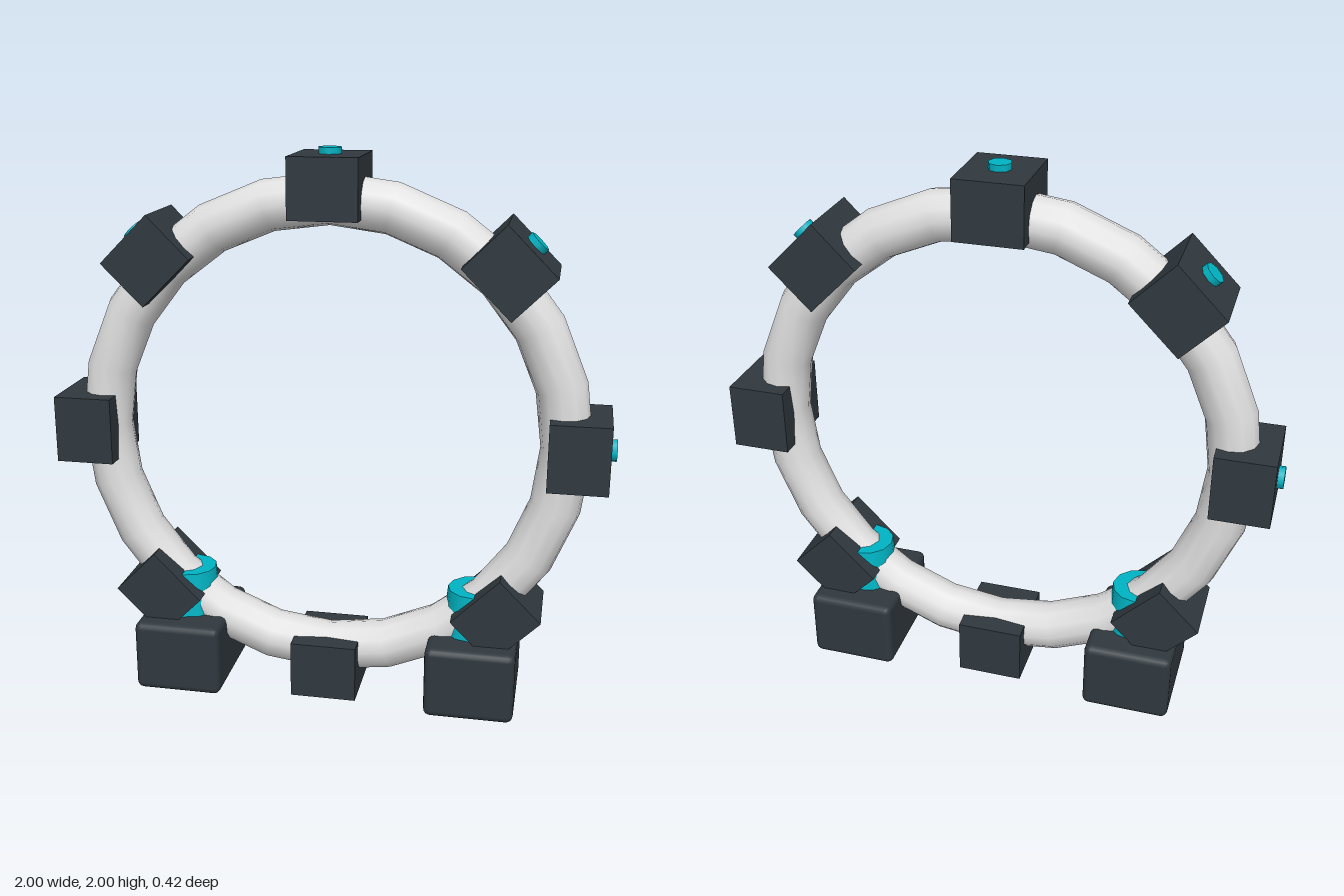
import * as THREE from 'three';
import { RoundedBoxGeometry } from 'three/addons/geometries/RoundedBoxGeometry.js';

const CENTRE_Y = 1;

export function createModel() {
  const model = new THREE.Group();
  model.name = 'ringGate';

  const paleMetal = new THREE.MeshStandardMaterial({ color: 0xe0e0e0 });
  paleMetal.name = 'pale metal';
  const darkMetal = new THREE.MeshStandardMaterial({ color: 0x30393f });
  darkMetal.name = 'dark metal';
  const teal = new THREE.MeshStandardMaterial({ color: 0x00b4c4 });
  teal.name = 'teal light';

  const add = (parent, name, geometry, material, x, y, z = 0) => {
    const mesh = new THREE.Mesh(geometry, material);
    mesh.name = name;
    mesh.position.set(x, y, z);
    parent.add(mesh);
    return mesh;
  };

  // Main ring
  add(model, 'ring', new THREE.TorusGeometry(0.83, 0.09, 12, 24), paleMetal, 0, CENTRE_Y);

  // Eight clamp blocks around the ring, each with a light stud facing outward
  const blockGeometry = new THREE.BoxGeometry(0.24, 0.208, 0.284);
  const studGeometry = new THREE.CylinderGeometry(0.04, 0.04, 0.06, 8);
  for (let i = 0; i < 8; i++) {
    const clamp = new THREE.Group();
    clamp.name = 'clamp' + (i + 1);
    clamp.position.y = CENTRE_Y;
    clamp.rotation.z = (i * Math.PI) / 4;
    add(clamp, 'clampBlock', blockGeometry, darkMetal, 0, 0.874);
    add(clamp, 'lightStud', studGeometry, teal, 0, 0.97);
    model.add(clamp);
  }

  // Two feet, each joined to the ring by a tapered post
  const footGeometry = new RoundedBoxGeometry(0.32, 0.264, 0.416, 2, 0.025);
  const postGeometry = new THREE.CylinderGeometry(0.1, 0.12, 0.2, 12);
  for (const [side, sign] of [['left', 1], ['right', -1]]) {
    add(model, side + 'Foot', footGeometry, darkMetal, sign * 0.537, 0.155);
    add(model, side + 'Post', postGeometry, teal, sign * 0.537, 0.35);
  }

  return model;
}
